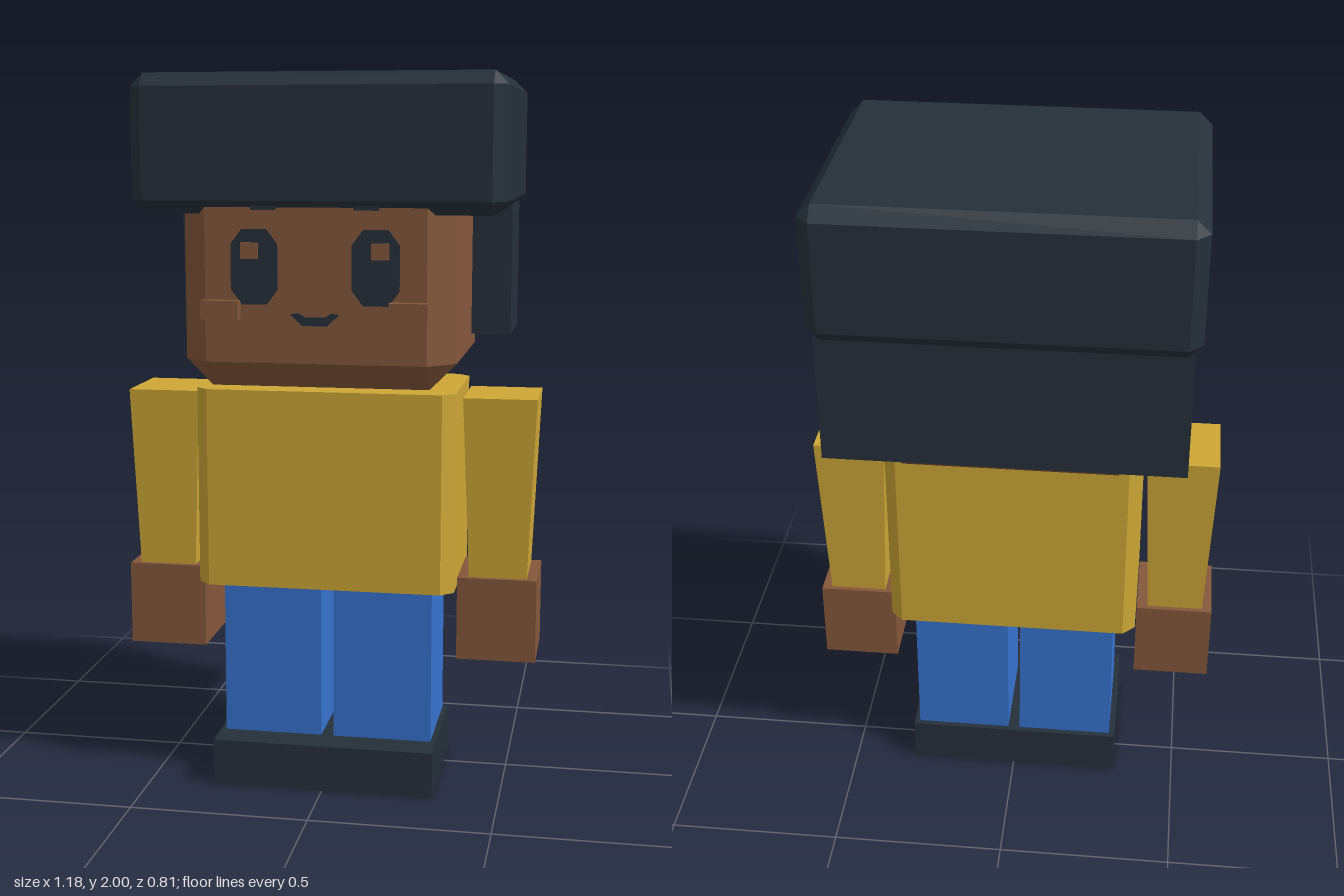
import * as THREE from 'three';
import { ConvexGeometry } from 'three/addons/geometries/ConvexGeometry.js';

const material = (name, color) => new THREE.MeshStandardMaterial({ name, color });

// Box from min and max corners
function box(x0, x1, y0, y1, z0, z1) {
  return new THREE.BoxGeometry(x1 - x0, y1 - y0, z1 - z0)
    .translate((x0 + x1) / 2, (y0 + y1) / 2, (z0 + z1) / 2);
}

// Box with every edge cut at 45 degrees by c
function chamferBox(x0, x1, y0, y1, z0, z1, c) {
  const mid = [(x0 + x1) / 2, (y0 + y1) / 2, (z0 + z1) / 2];
  const half = [(x1 - x0) / 2, (y1 - y0) / 2, (z1 - z0) / 2];
  const points = [];
  for (let axis = 0; axis < 3; axis++)
    for (const sx of [-1, 1]) for (const sy of [-1, 1]) for (const sz of [-1, 1]) {
      const p = [sx, sy, sz].map((s, i) => mid[i] + s * (half[i] - (i === axis ? 0 : c)));
      points.push(new THREE.Vector3(...p));
    }
  return new ConvexGeometry(points);
}

// Rectangle outline with cut corners
function cutRect(x0, x1, y0, y1, cx, cy = cx) {
  return new THREE.Shape([
    [x0 + cx, y0], [x1 - cx, y0], [x1, y0 + cy], [x1, y1 - cy],
    [x1 - cx, y1], [x0 + cx, y1], [x0, y1 - cy], [x0, y0 + cy],
  ].map(([x, y]) => new THREE.Vector2(x, y)));
}

const extrude = (shape, depth) =>
  new THREE.ExtrudeGeometry(shape, { depth, bevelEnabled: false });

export function createModel() {
  const hair = material('charcoal', 0x25303a);
  const skin = material('brown skin', 0x84573b);
  const shirt = material('mustard', 0xcda736);
  const denim = material('blue', 0x3672ce);

  const model = new THREE.Group();
  model.name = 'blockFigure';
  const add = (name, geometry, mat) => {
    const mesh = new THREE.Mesh(geometry, mat);
    mesh.name = name;
    model.add(mesh);
    return mesh;
  };

  // Head and hair
  add('head', chamferBox(-0.372, 0.372, 1.162, 1.9, -0.275, 0.374, 0.073), skin);
  add('hairTop', chamferBox(-0.503, 0.503, 1.63, 2, -0.407, 0.391, 0.036), hair);
  add('hairBack', box(-0.485, 0.485, 1.272, 1.7, -0.367, -0.09), hair);

  // Torso with cut vertical edges
  const torso = extrude(cutRect(-0.364, 0.364, -0.264, 0.164, 0.035), 0.56);
  add('torso', torso.rotateX(-Math.PI / 2).translate(0, 0.583, 0), shirt);

  // Shoes in one block
  add('shoes', box(-0.315, 0.315, 0, 0.132, -0.115, 0.292), hair);

  for (const [side, s] of [['left', 1], ['right', -1]]) {
    const span = (a, b) => (s > 0 ? [a, b] : [-b, -a]);

    add(`${side}Leg`, box(...span(0.018, 0.299), 0.1, 0.6, -0.098, 0.2), denim);

    // Arm narrowing toward the hand
    const arm = new THREE.BoxGeometry(0.205, 0.522, 0.237);
    const pos = arm.attributes.position;
    for (let i = 0; i < pos.count; i++) {
      if (pos.getY(i) < 0) {
        pos.setX(i, pos.getX(i) * 0.79);
        pos.setZ(i, pos.getZ(i) * 0.88);
      }
    }
    arm.computeVertexNormals();
    add(`${side}Arm`, arm, shirt).position.set(s * 0.479, 0.861, 0.049);
    add(`${side}Hand`, box(...span(0.366, 0.589), 0.373, 0.61, -0.07, 0.168), skin);

    // Face details
    const eye = cutRect(...span(0.1, 0.227), 1.392, 1.592, 0.03, 0.04);
    add(`${side}Eye`, extrude(eye, 0.005).translate(0, 0, 0.373), hair);
    add(`${side}EyeGlint`, box(...span(0.152, 0.2), 1.513, 1.557, 0.374, 0.381), skin);
    add(`${side}Brow`, box(...span(0.105, 0.172), 1.642, 1.66, 0.373, 0.379), hair);
    add(`${side}Cheek`, box(...span(0.202, 0.305), 1.352, 1.403, 0.36, 0.407), skin);
  }

  // Smile
  const mouth = new THREE.Shape([
    [-0.066, 1.368], [-0.034, 1.337], [0.034, 1.337], [0.066, 1.368],
    [0.045, 1.371], [0.027, 1.36], [-0.027, 1.36], [-0.045, 1.371],
  ].map(([x, y]) => new THREE.Vector2(x, y)));
  add('mouth', extrude(mouth, 0.005).translate(0, 0, 0.373), hair);

  return model;
}
